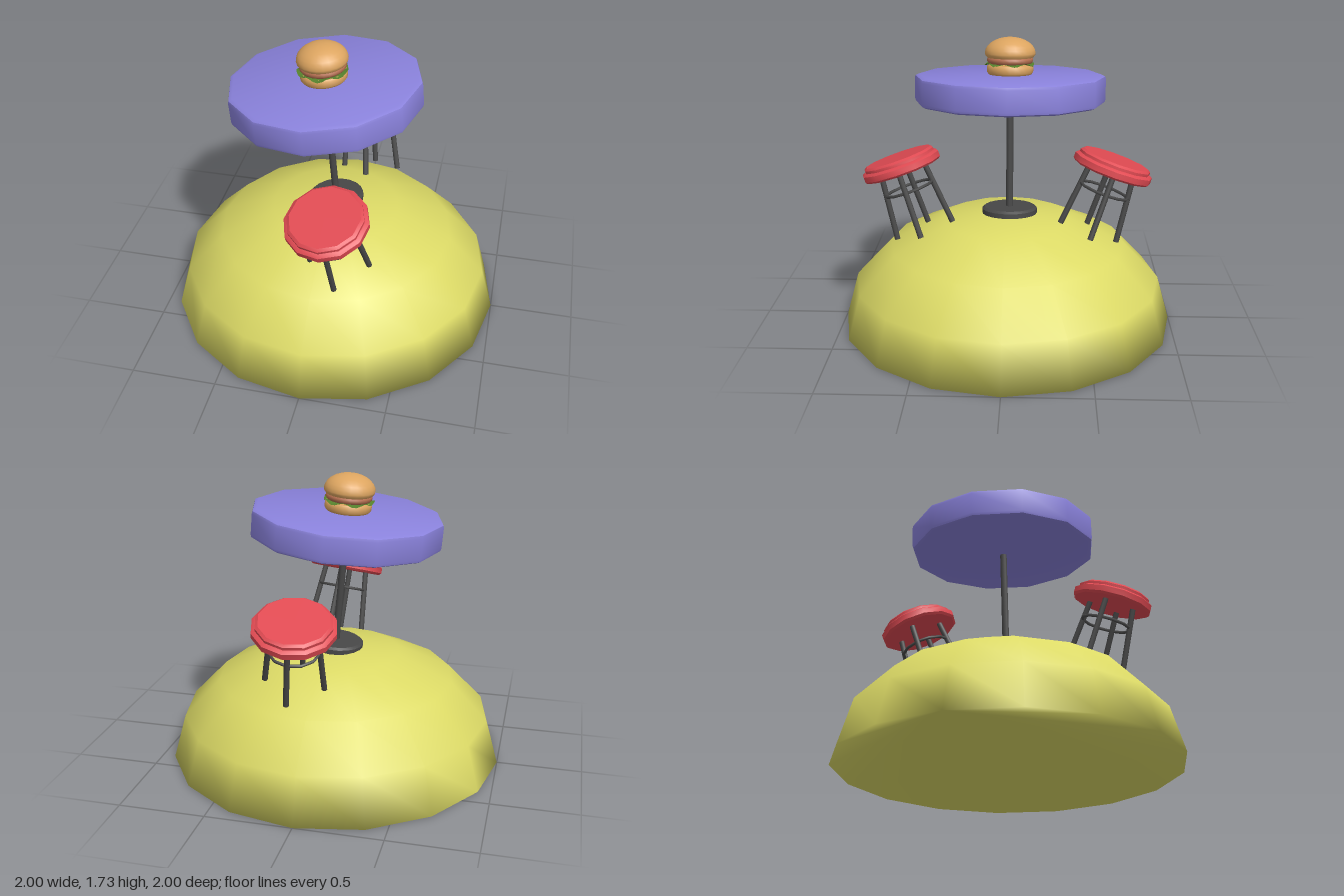
import * as THREE from 'three';
import { mergeVertices, toCreasedNormals } from 'three/addons/utils/BufferGeometryUtils.js';

const mat = (color) => new THREE.MeshStandardMaterial({ color });
const yellow = mat(0xdcda66), purple = mat(0x8a82dc), red = mat(0xe04a52);
const dark = mat(0x484848), bun = mat(0xdda560), meat = mat(0xb56f50);
const green = mat(0x55802c);
green.side = THREE.DoubleSide;

function add(parent, name, geometry, material, y = 0) {
  const mesh = new THREE.Mesh(geometry, material);
  mesh.name = name;
  mesh.position.y = y;
  parent.add(mesh);
  return mesh;
}

// Solid of revolution whose first polygon corner lies on an axis
function turned(profile, sides, crease = 0.6) {
  const points = profile.map(([r, y]) => new THREE.Vector2(r, y));
  return toCreasedNormals(new THREE.LatheGeometry(points, sides), crease);
}

// Squashed half sphere, closed below with a fan that shares the rim's normals
function hillGeometry() {
  const sides = 16, rings = 4;
  const g = new THREE.SphereGeometry(1, sides, rings, 0, Math.PI * 2, 0, Math.PI / 2);
  g.scale(1, 0.7, 1);
  const index = Array.from(g.index.array);
  const rim = rings * (sides + 1);
  for (let i = 1; i < sides - 1; i++) index.push(rim, rim + i + 1, rim + i);
  g.setIndex(index);
  g.deleteAttribute('uv');
  g.deleteAttribute('normal');
  const merged = mergeVertices(g, 1e-4);
  merged.computeVertexNormals();
  return merged;
}

function rod(parent, name, a, b, radius) {
  const along = b.clone().sub(a);
  const mesh = add(parent, name, new THREE.CylinderGeometry(radius, radius, along.length(), 8), dark);
  mesh.position.copy(a).add(b).multiplyScalar(0.5);
  mesh.quaternion.setFromUnitVectors(new THREE.Vector3(0, 1, 0), along.normalize());
}

// Wavy leaf: a flat ring lifted and widened by a sine around the edge
function leafGeometry() {
  const g = new THREE.RingGeometry(0.08, 0.145, 36, 2);
  g.rotateX(-Math.PI / 2);
  const p = g.attributes.position;
  for (let i = 0; i < p.count; i++) {
    const x = p.getX(i), z = p.getZ(i), a = Math.atan2(z, x);
    const edge = (Math.hypot(x, z) - 0.08) / 0.065;
    const k = 1 + 0.04 * edge * Math.sin(a * 5);
    p.setXYZ(i, x * k, edge * (0.009 * Math.sin(a * 7) - 0.004), z * k);
  }
  g.computeVertexNormals();
  return g;
}

function burger() {
  const g = new THREE.Group();
  g.name = 'burger';
  add(g, 'bottomBun', turned([[0, 0], [0.125, 0], [0.135, 0.012], [0.136, 0.045], [0.128, 0.055], [0, 0.055]], 24, 0.9), bun);
  add(g, 'lettuce', leafGeometry(), green, 0.063);
  add(g, 'patty', turned([[0, 0.064], [0.125, 0.064], [0.134, 0.075], [0.134, 0.09], [0.125, 0.1], [0, 0.1]], 24, 0.9), meat);
  const top = [[0, 0.098], [0.135, 0.098], [0.146, 0.112]];
  for (let i = 0; i <= 7; i++) {
    const a = (i / 7) * Math.PI / 2;
    top.push([0.148 * Math.cos(a), 0.122 + 0.094 * Math.sin(a)]);
  }
  add(g, 'topBun', turned(top, 24, 0.9), bun);
  return g;
}

function table() {
  const g = new THREE.Group();
  g.name = 'table';
  add(g, 'tableFoot', turned([[0, -0.02], [0.165, -0.02], [0.165, 0.008], [0.15, 0.02], [0, 0.02]], 20), dark);
  add(g, 'tablePole', new THREE.CylinderGeometry(0.021, 0.021, 0.68, 8), dark, 0.33);
  add(g, 'tableTop', turned([[0, 0], [0.535, 0], [0.556, 0.01], [0.56, 0.025],
    [0.56, 0.145], [0.556, 0.16], [0.535, 0.17], [0, 0.17]], 12), purple, 0.645);
  const food = burger();
  food.position.y = 0.815;
  g.add(food);
  g.position.set(-0.002, 0.7, -0.015);
  g.rotation.z = 0.086;
  return g;
}

// Stool with its origin under the seat, legs splayed below
function stool() {
  const g = new THREE.Group();
  g.name = 'stool';
  add(g, 'seat', turned([[0, 0], [0.225, 0], [0.238, 0.012], [0.238, 0.045], [0.222, 0.056],
    [0.216, 0.058], [0.216, 0.074], [0.2, 0.086], [0, 0.086]], 12), red);
  for (let i = 0; i < 4; i++) {
    const a = i * Math.PI / 2, c = Math.cos(a), s = Math.sin(a);
    rod(g, 'stoolLeg', new THREE.Vector3(0.133 * c, 0.01, 0.133 * s),
      new THREE.Vector3(0.175 * c, -0.385, 0.175 * s), 0.017);
  }
  const ring = new THREE.TorusGeometry(0.147, 0.009, 6, 12);
  ring.rotateX(Math.PI / 2);
  add(g, 'footRing', ring, dark, -0.115);
  g.position.set(0.085, 0.965, 0.612);
  g.quaternion.setFromUnitVectors(new THREE.Vector3(0, 1, 0), new THREE.Vector3(-0.11, 1, 0.35).normalize());
  return g;
}

export function createModel() {
  const model = new THREE.Group();
  model.name = 'hilltopTable';
  add(model, 'hill', hillGeometry(), yellow);
  model.add(table());
  // One stool at the front, its mirror image at the back
  for (const side of [1, -1]) {
    const half = new THREE.Group();
    half.name = side > 0 ? 'frontStool' : 'backStool';
    half.scale.z = side;
    half.add(stool());
    model.add(half);
  }
  return model;
}
